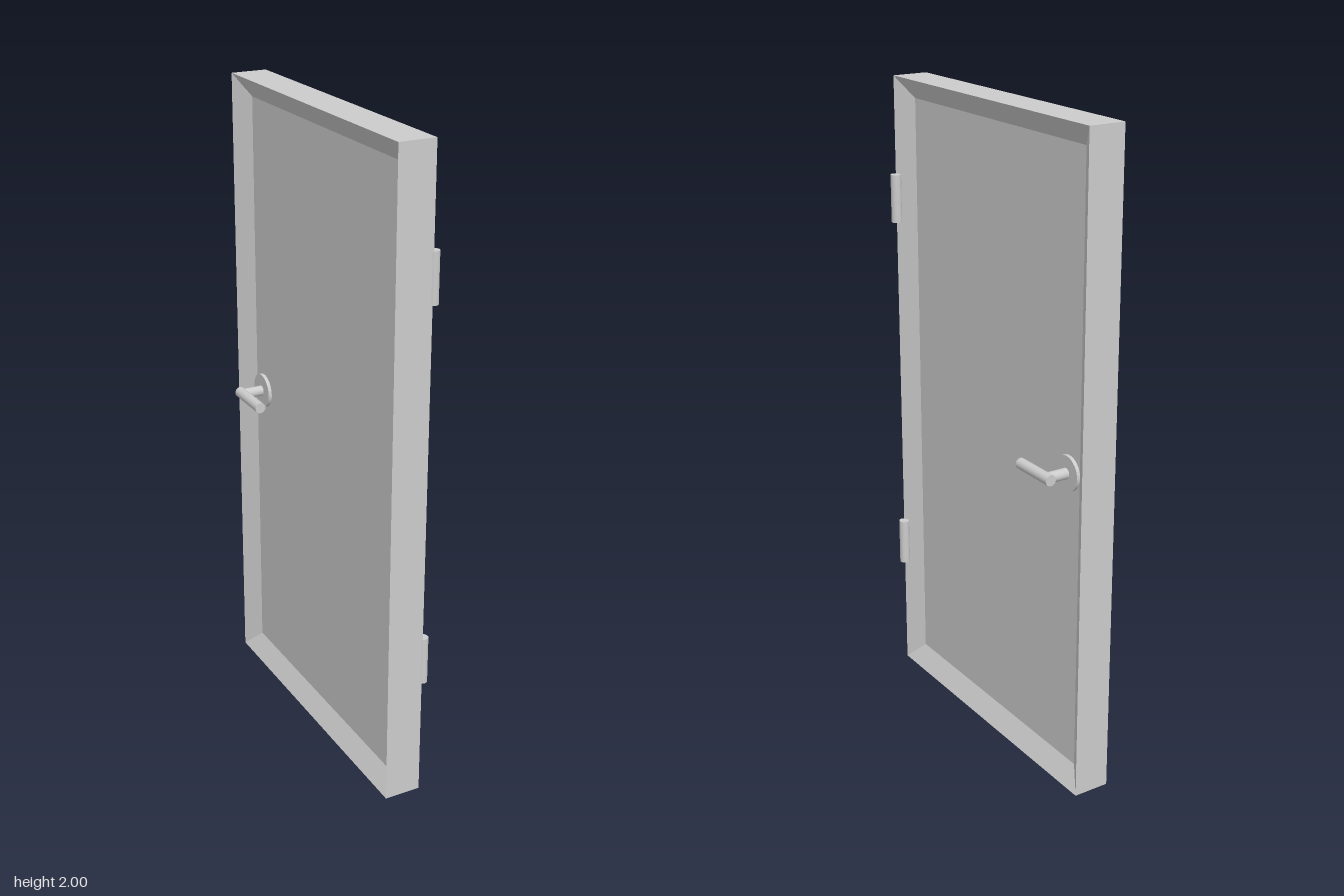
import * as THREE from 'three';

const material = new THREE.MeshStandardMaterial({ color: 0xcccccc });

function addMesh(parent, name, geometry, x = 0, y = 0, z = 0) {
  const mesh = new THREE.Mesh(geometry, material);
  mesh.name = name;
  mesh.position.set(x, y, z);
  parent.add(mesh);
  return mesh;
}

// Door slab: rectangles lofted along x, with a bevelled recess on both faces
function slabGeometry({ half, depth, inset, z0, z1, height }) {
  const ring = (x, i) => [
    [x, i, z0 + i], [x, height - i, z0 + i], [x, height - i, z1 - i], [x, i, z1 - i],
  ];
  const rings = [
    ring(-half + depth, inset), ring(-half, 0), ring(half, 0), ring(half - depth, inset),
  ];
  const positions = [];
  const quad = (a, b, c, d) => positions.push(...a, ...b, ...c, ...a, ...c, ...d);
  for (let r = 0; r < 3; r++) {
    for (let k = 0; k < 4; k++) {
      const n = (k + 1) % 4;
      quad(rings[r][k], rings[r][n], rings[r + 1][n], rings[r + 1][k]);
    }
  }
  quad(...rings[3]);
  quad(...[...rings[0]].reverse());
  const geometry = new THREE.BufferGeometry();
  geometry.setAttribute('position', new THREE.Float32BufferAttribute(positions, 3));
  geometry.computeVertexNormals();
  return geometry;
}

// Rosette, spindle and lever on one face (side is +1 or -1)
function createHandle(side) {
  const handle = new THREE.Group();
  handle.name = side > 0 ? 'leftHandle' : 'rightHandle';
  handle.position.set(0, 1, -0.391);

  const panelX = 0.019;
  const leverX = 0.096;
  const rosette = addMesh(handle, 'rosette',
    new THREE.CylinderGeometry(0.054, 0.054, 0.014, 32), side * (panelX + 0.004));
  rosette.rotation.z = Math.PI / 2;

  const spindle = addMesh(handle, 'spindle',
    new THREE.CylinderGeometry(0.0165, 0.0165, leverX - panelX, 24), side * (panelX + leverX) / 2);
  spindle.rotation.z = Math.PI / 2;

  const lever = addMesh(handle, 'lever',
    new THREE.CylinderGeometry(0.017, 0.017, 0.153, 24), side * leverX, 0, 0.0555);
  lever.rotation.x = Math.PI / 2;
  return handle;
}

export function createModel() {
  const door = new THREE.Group();
  door.name = 'door';

  addMesh(door, 'doorSlab', slabGeometry({
    half: 0.057, depth: 0.038, inset: 0.063, z0: -0.506, z1: 0.501, height: 2,
  }));

  for (const side of [1, -1]) door.add(createHandle(side));

  // Hinge barrels along the front edge
  for (const [name, y] of [['lowerHinge', 0.45], ['upperHinge', 1.625]]) {
    addMesh(door, name, new THREE.CylinderGeometry(0.0165, 0.0165, 0.15, 24), 0.064, y, 0.489);
  }
  return door;
}
